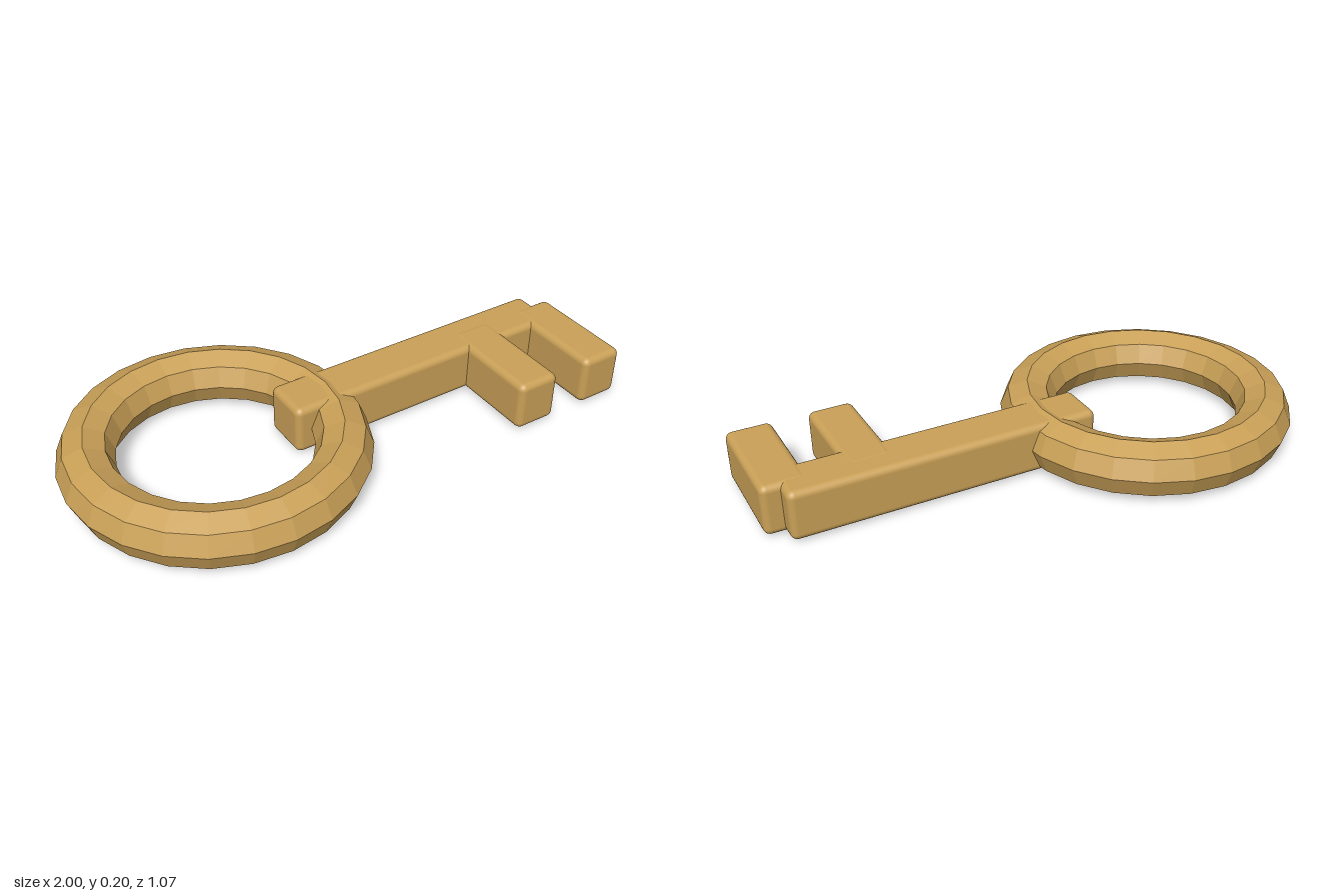
import * as THREE from 'three';
import { RoundedBoxGeometry } from 'three/addons/geometries/RoundedBoxGeometry.js';

export function createModel() {
  const key = new THREE.Group();
  key.name = 'key';
  const brass = new THREE.MeshStandardMaterial({ color: 0xc9a057 });
  brass.name = 'brass';

  const add = (name, geometry, x, y, z) => {
    const mesh = new THREE.Mesh(geometry, brass);
    mesh.name = name;
    mesh.position.set(x, y, z);
    key.add(mesh);
  };

  // Faceted ring lying flat: 8-sided section, 24 steps round
  const ring = new THREE.TorusGeometry(0.437, 0.1, 8, 24).rotateX(Math.PI / 2).toNonIndexed();
  ring.computeVertexNormals();
  add('ring', ring, -0.463, 0.1, 0);

  // Softly rounded bar given by its x and z limits
  const bar = (name, x0, x1, z0, z1, height) =>
    add(name, new RoundedBoxGeometry(x1 - x0, height, z1 - z0, 3, 0.025),
      (x0 + x1) / 2, 0.1, (z0 + z1) / 2);

  // Shaft runs through the ring wall; two teeth point to the front
  bar('shaft', -0.195, 0.932, -0.092, 0.092, 0.184);
  bar('innerTooth', 0.538, 0.704, -0.02, 0.395, 0.187);
  bar('endTooth', 0.834, 1.0, -0.02, 0.395, 0.187);

  return key;
}
